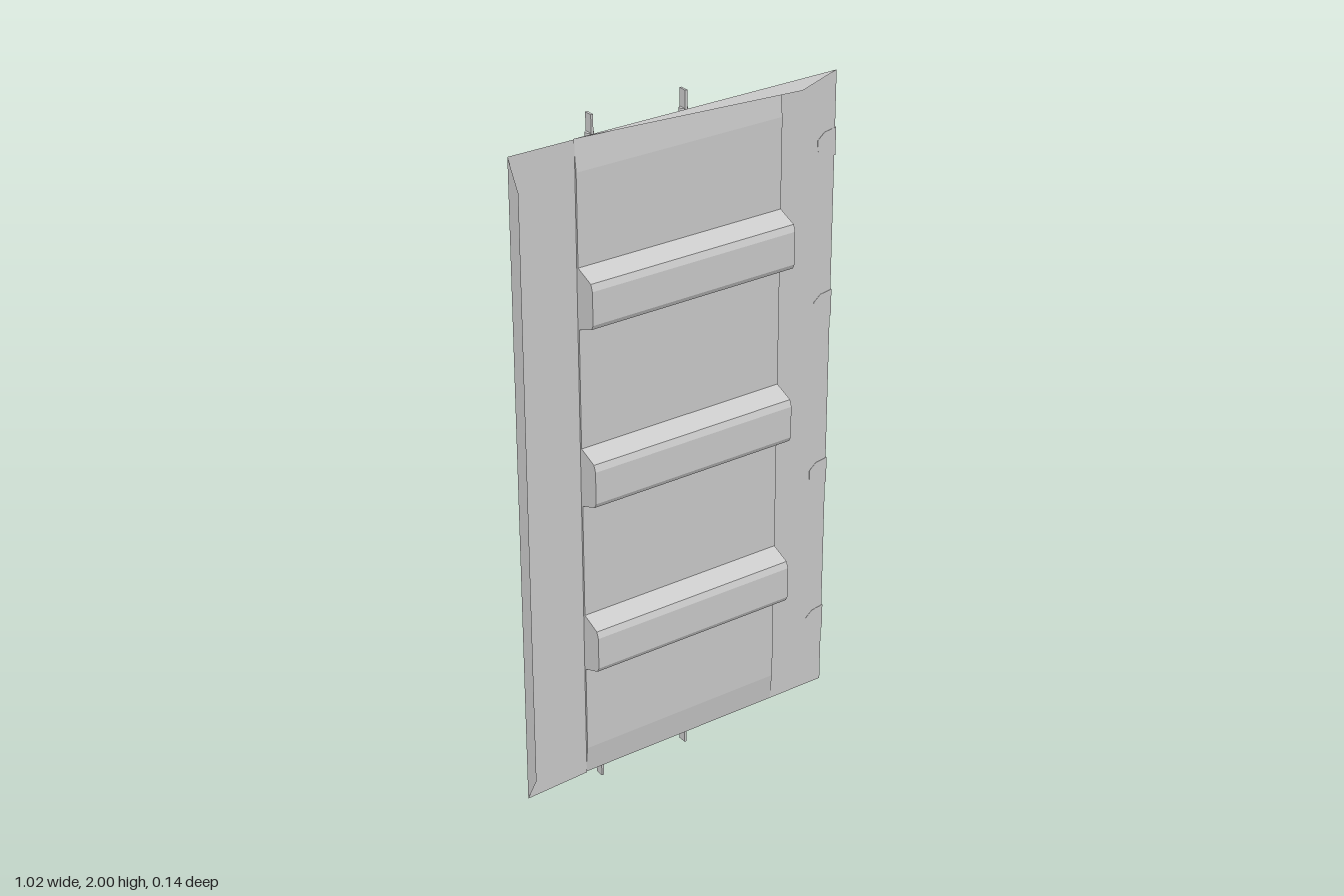
import * as THREE from 'three';

const steel = new THREE.MeshStandardMaterial({ color: 0xcccccc, flatShading: true });
const sheet = new THREE.MeshStandardMaterial({ color: 0xcccccc, flatShading: true, side: THREE.DoubleSide });
const smooth = new THREE.MeshStandardMaterial({ color: 0xcccccc });

const BACK = -0.02, X0 = -0.313, X1 = 0.327, ROD_Z = -0.051;

export function createModel() {
  const root = new THREE.Group();
  root.name = 'cargoDoor';

  const add = (name, geo, mat, x = 0, y = 0, z = 0, parent = root) => {
    const m = new THREE.Mesh(geo, mat);
    m.name = name;
    m.position.set(x, y, z);
    parent.add(m);
    return m;
  };
  const box = (w, h, d) => new THREE.BoxGeometry(w, h, d);

  // Thin sheet from a few outline corners, fan triangulated
  const fan = (...pts) => {
    const g = new THREE.BufferGeometry();
    const tri = [];
    for (let i = 1; i < pts.length - 1; i++) tri.push(...pts[0], ...pts[i], ...pts[i + 1]);
    g.setAttribute('position', new THREE.Float32BufferAttribute(tri, 3));
    g.computeVertexNormals();
    return g;
  };

  // Pressed centre panel: (z, y) profile with sloped ends and three ribs
  const panelZ = -0.01;
  const profile = [[BACK, 0.05], [panelZ, 0.135]];
  for (const y of [0.485, 1.0, 1.522]) {
    profile.push([panelZ, y - 0.087], [0.048, y - 0.064], [0.055, y - 0.05],
      [0.055, y + 0.045], [0.048, y + 0.064], [panelZ, y + 0.087]);
  }
  profile.push([panelZ, 1.87], [BACK, 1.957]);

  const panel = new THREE.PlaneGeometry(1, 1, 1, profile.length - 1);
  profile.forEach(([z, y], i) => {
    panel.attributes.position.setXYZ(2 * i, X1, y, z);
    panel.attributes.position.setXYZ(2 * i + 1, X0, y, z);
  });
  panel.computeVertexNormals();
  add('ribbedPanel', panel, sheet);

  // End walls closing the ribs at both sides
  const ends = new THREE.ShapeGeometry(new THREE.Shape(profile.map(p => new THREE.Vector2(...p))));
  ends.rotateY(-Math.PI / 2);
  add('rightRibEnds', ends, sheet, X0);
  add('leftRibEnds', ends, sheet, X1);

  // Flat side strips
  add('leftStrip', fan([X1, 0.05, BACK], [0.51, 0.05, BACK], [0.51, 1.957, BACK], [X1, 1.957, BACK]), sheet);
  add('rightStrip', fan([-0.51, 0.045, -0.011], [X0, 0.05, -0.016], [X0, 1.957, -0.016], [-0.51, 1.96, -0.011]), sheet);

  // Bevelled flange on the right edge and bent top flap
  add('edgeFlange', fan([-0.51, 0.045, -0.011], [-0.51, 0.13, 0.035], [-0.51, 1.88, 0.035], [-0.51, 1.96, -0.011]), sheet);
  add('topFlap', fan([0.51, 1.957, BACK], [X0, 1.957, BACK], [0.333, 1.966, 0.066]), sheet);

  // Hinge lugs, tapering inward from the left edge
  const lugShape = new THREE.Shape([[0.513, -0.04], [0.513, 0.04], [0.475, 0.034], [0.453, 0.015], [0.453, -0.015], [0.475, -0.034]]
    .map(p => new THREE.Vector2(...p)));
  const lugGeo = new THREE.ExtrudeGeometry(lugShape, { depth: 0.02, bevelEnabled: false });
  for (const y of [0.265, 0.755, 1.28, 1.755]) add('hingeLug', lugGeo, steel, 0, y, -0.039);

  // Lock rods with flat tips, guide brackets and collars
  const rodGeo = new THREE.CylinderGeometry(0.012, 0.012, 1.9, 12);
  for (const x of [-0.245, 0.041]) {
    const rod = new THREE.Group();
    rod.name = 'lockRod';
    rod.position.set(x, 0, ROD_Z);
    root.add(rod);
    add('rodBar', rodGeo, smooth, 0, 1, 0, rod);
    for (const y of [0.035, 1.965]) add('rodTip', box(0.007, 0.07, 0.025), steel, 0, y, 0, rod);
    for (const y of [0.267, 1.745]) {
      add('guideSleeve', new THREE.CylinderGeometry(0.021, 0.021, 0.13, 6), steel, 0, y, 0, rod);
      add('guidePlate', box(0.058, 0.11, 0.012), steel, 0, y, 0.026, rod);
    }
    add('rodCollar', new THREE.CylinderGeometry(0.019, 0.019, 0.03, 8), steel, 0, 0.88, 0, rod);
    add('collarPlate', box(0.03, 0.03, 0.018), steel, 0, 0.88, 0.022, rod);
  }

  // Curved handles, each swinging from its own rod toward the other
  const handle = (rodX, dir, y, hubX) => {
    const path = new THREE.CatmullRomCurve3([[0, ROD_Z], [0.04, -0.043], [0.09, -0.034], [0.16, -0.031], [0.25, -0.031]]
      .map(([d, z]) => new THREE.Vector3(rodX + dir * d, y, z)));
    add('handleBar', new THREE.TubeGeometry(path, 16, 0.009, 8), smooth);
    add('handleGrip', new THREE.SphereGeometry(0.011, 8, 6), smooth, rodX + dir * 0.25, y, -0.031);
    add('handleCatch', box(0.027, 0.06, 0.03), steel, hubX, y, -0.033);
    add('catchPlate', box(0.06, 0.035, 0.014), steel, hubX, y, -0.018);
  };
  handle(-0.245, 1, 0.768, -0.136);
  handle(0.041, -1, 0.657, -0.07);

  return root;
}
